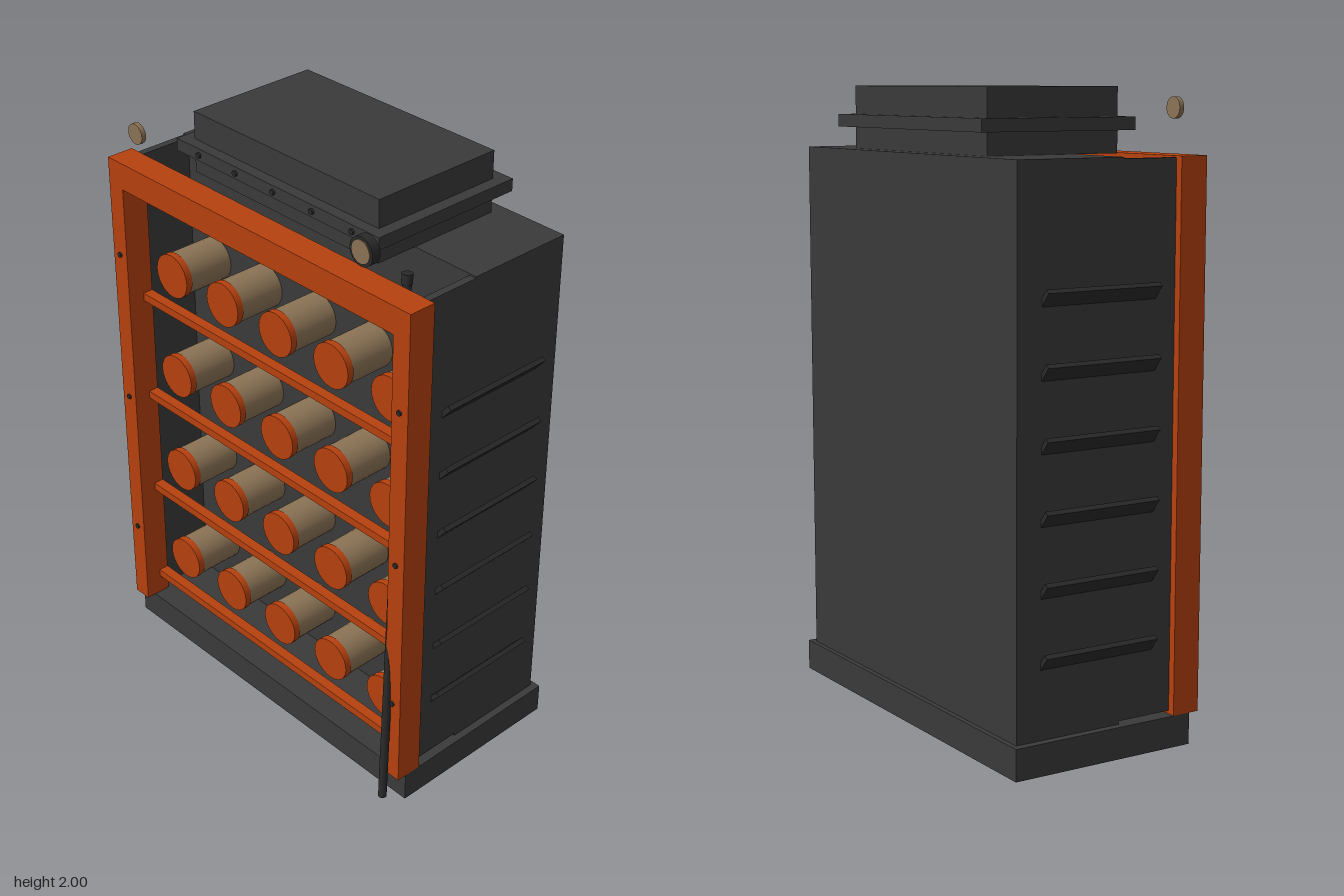
import * as THREE from 'three';

const mat = (name, color) => {
  const m = new THREE.MeshStandardMaterial({ color });
  m.name = name;
  return m;
};

export function createModel() {
  const steel = mat('dark steel', 0x3a3a3a);
  const iron = mat('black iron', 0x2a2a2a);
  const rust = mat('rust orange', 0xb7410e);
  const tan = mat('dull brass', 0x8b7355);
  const model = new THREE.Group();
  model.name = 'rackCabinet';

  const add = (name, geometry, material, x, y, z, parent = model) => {
    const mesh = new THREE.Mesh(geometry, material);
    mesh.name = name;
    mesh.position.set(x, y, z);
    parent.add(mesh);
    return mesh;
  };
  // box given by its two extreme corners
  const box = (name, material, [x0, y0, z0], [x1, y1, z1], parent) =>
    add(name, new THREE.BoxGeometry(x1 - x0, y1 - y0, z1 - z0), material,
      (x0 + x1) / 2, (y0 + y1) / 2, (z0 + z1) / 2, parent);
  // cylinder lying along z, from z0 to z1
  const disc = (name, material, r, x, y, z0, z1, parent, sides = 24) =>
    add(name, new THREE.CylinderGeometry(r, r, z1 - z0, sides).rotateX(Math.PI / 2), material,
      x, y, (z0 + z1) / 2, parent);

  // plinth, rear housing and the side walls of the open bay
  box('base', steel, [-0.665, 0, -0.357], [0.665, 0.1, 0.275]);
  box('housing', steel, [-0.64, 0.1, -0.34], [0.64, 1.8, 0.027]);
  for (const s of [-1, 1]) {
    add('sideWall', new THREE.BoxGeometry(0.025, 1.685, 0.188), steel, s * 0.6275, 0.9525, 0.121);
  }

  // front frame, open at the bottom
  const arch = new THREE.Shape([
    [-0.665, 0.1], [-0.6, 0.1], [-0.6, 1.71], [0.6, 1.71],
    [0.6, 0.1], [0.665, 0.1], [0.665, 1.8], [-0.665, 1.8],
  ].map(([x, y]) => new THREE.Vector2(x, y)));
  add('frontFrame', new THREE.ExtrudeGeometry(arch, { depth: 0.093, bevelEnabled: false }),
    rust, 0, 0, 0.215);
  for (const s of [-1, 1]) {
    for (const y of [0.4, 0.935, 1.47]) {
      disc('frameBolt', iron, 0.009, s * 0.632, y, 0.3, 0.314, model, 8);
    }
  }

  // four shelf rails, each with five canisters
  for (let row = 0; row < 4; row++) {
    const y = 0.285 + row * 0.375;
    const shelf = new THREE.Group();
    shelf.name = 'shelf';
    model.add(shelf);
    box('shelfRail', rust, [-0.6, y - 0.117, 0.215], [0.6, y - 0.09, 0.25], shelf);
    for (let i = -2; i <= 2; i++) {
      const x = i * 0.2475;
      disc('canister', tan, 0.072, x, y, 0.025, 0.192, shelf);
      disc('canisterCap', rust, 0.075, x, y, 0.19, 0.213, shelf);
    }
  }

  // roof hatch with its flange and bolts
  box('hatch', steel, [-0.4, 1.8, -0.29], [0.4, 2, 0.173]);
  box('hatchFlange', steel, [-0.44, 1.87, -0.332], [0.44, 1.91, 0.211]);
  for (let i = -2; i <= 2; i++) {
    disc('flangeBolt', iron, 0.009, i * 0.167, 1.89, 0.205, 0.219, model, 8);
  }

  // side louvres, leaning outwards at the top
  for (const s of [-1, 1]) {
    for (let i = 0; i < 6; i++) {
      const louvre = add('louvre', new THREE.BoxGeometry(0.016, 0.064, 0.4), iron,
        s * 0.648, 0.337 + i * 0.2136, -0.056);
      louvre.rotation.z = -s * 0.7;
    }
  }

  // small brass knob and iron-rimmed gauge above the frame
  disc('knob', tan, 0.033, -0.5, 1.937, 0.306, 0.322);
  disc('gaugeRim', iron, 0.045, 0.5, 1.937, 0.308, 0.337);
  disc('gaugeFace', tan, 0.036, 0.5, 1.937, 0.334, 0.34);

  // long slanted lever with a collar at its top end
  const rod = (name, a, b, r) => {
    const d = b.clone().sub(a);
    const c = a.clone().add(b).multiplyScalar(0.5);
    const mesh = add(name, new THREE.CylinderGeometry(r, r, d.length(), 12), iron, c.x, c.y, c.z);
    mesh.quaternion.setFromUnitVectors(new THREE.Vector3(0, 1, 0), d.normalize());
  };
  const top = new THREE.Vector3(0.533, 1.83, 0.19);
  const foot = new THREE.Vector3(0.631, 0.035, 0.343);
  rod('lever', foot, top, 0.014);
  rod('leverCollar', top.clone().lerp(foot, 0.017), top, 0.017);

  return model;
}
